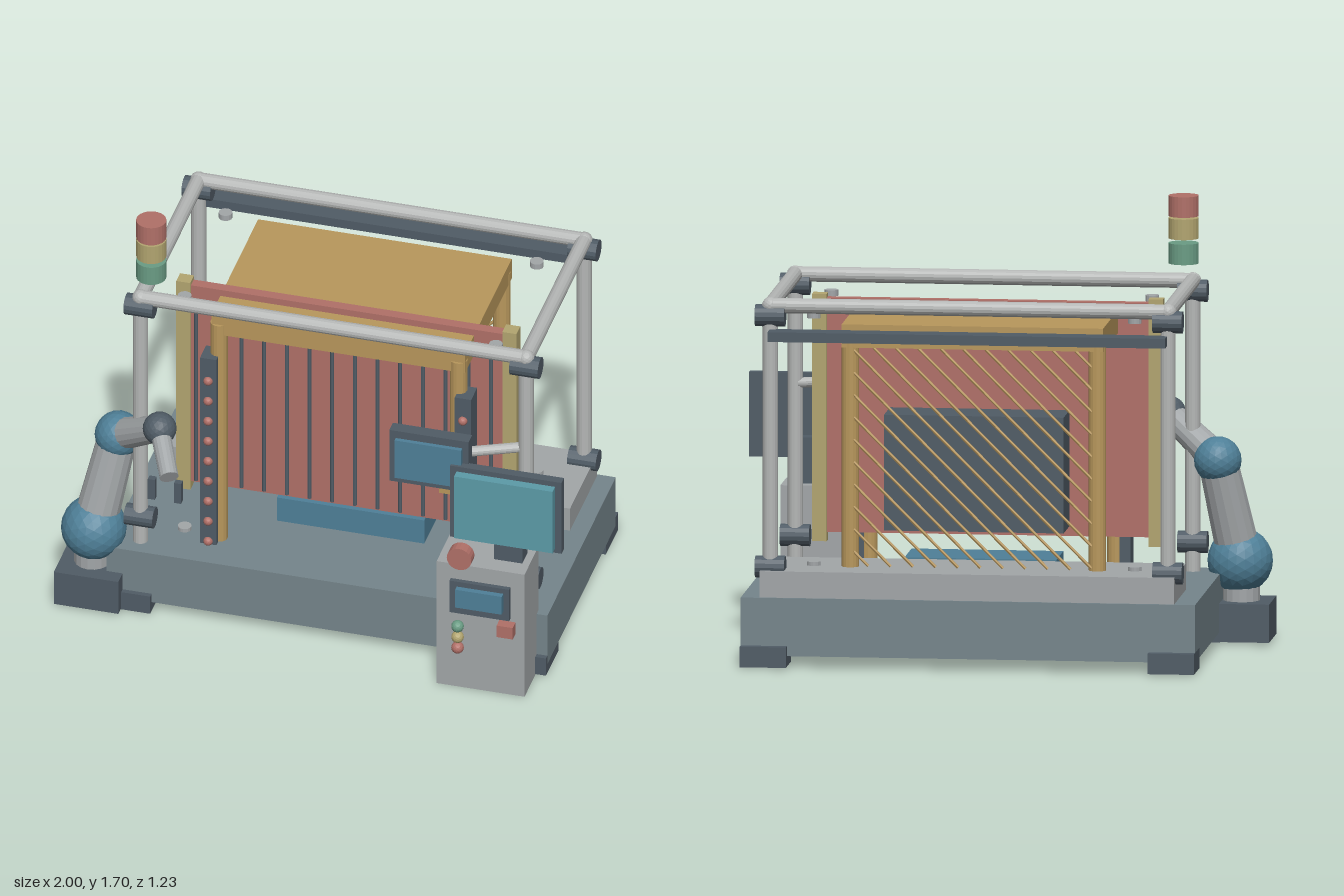
import * as THREE from 'three';

const mat = (color) => new THREE.MeshStandardMaterial({ color, flatShading: true });
const M = {
  dark: mat(0x505c66), base: mat(0x75858b), light: mat(0xa2a6a8), pipe: mat(0xb4b6b5),
  teal: mat(0x4f8098), screen: mat(0x5c9ba8), red: mat(0xb07068), gold: mat(0xb8975c),
  yellow: mat(0xb2a570), green: mat(0x6a9c84),
};

export function createModel() {
  const model = new THREE.Group();
  model.name = 'roboticWorkCell';
  const put = (parent, name, geo, m, x = 0, y = 0, z = 0) => {
    const mesh = new THREE.Mesh(geo, m);
    mesh.name = name;
    mesh.position.set(x, y, z);
    parent.add(mesh);
    return mesh;
  };
  const group = (name) => {
    const g = new THREE.Group();
    g.name = name;
    model.add(g);
    return g;
  };
  // Box given by its limits on each axis
  const box = (p, name, m, x0, x1, y0, y1, z0, z1) =>
    put(p, name, new THREE.BoxGeometry(x1 - x0, y1 - y0, z1 - z0), m, (x0 + x1) / 2, (y0 + y1) / 2, (z0 + z1) / 2);
  // Cylinder from point a to point b
  const rod = (p, name, m, a, b, r0, r1 = r0, sides = 16) => {
    const A = new THREE.Vector3(...a), B = new THREE.Vector3(...b), d = B.clone().sub(A);
    const mesh = put(p, name, new THREE.CylinderGeometry(r1, r0, d.length(), sides), m);
    mesh.position.copy(A).add(B).multiplyScalar(0.5);
    mesh.quaternion.setFromUnitVectors(new THREE.Vector3(0, 1, 0), d.normalize());
    return mesh;
  };
  const ball = (p, name, m, [x, y, z], r, detail = 3) =>
    put(p, name, new THREE.IcosahedronGeometry(r, detail), m, x, y, z);

  // Base, feet and levelling pads
  const base = group('base');
  box(base, 'deck', M.base, -0.81, 0.91, 0.045, 0.265, -0.58, 0.38);
  box(base, 'rearPlatform', M.light, -0.73, 0.84, 0.265, 0.365, -0.57, -0.19);
  box(base, 'frontTray', M.teal, -0.24, 0.335, 0.265, 0.37, -0.19, 0.04);
  for (const x of [-0.81, 0.735])
    for (const z of [-0.615, 0.225]) box(base, 'foot', M.dark, x, x + 0.175, 0.005, 0.083, z, z + 0.175);
  for (const x of [-0.56, 0.655])
    for (const z of [-0.39, 0.185]) {
      box(base, 'levellingPad', M.dark, x - 0.058, x + 0.058, 0.03, 0.046, z - 0.058, z + 0.058);
      const top = z < 0 ? 0.365 : 0.265;
      rod(base, 'deckDisc', M.light, [x, top, z], [x, top + 0.015, z], 0.026);
      rod(base, 'upperDisc', M.light, [x, 1.305, z], [x, 1.328, z], 0.026);
    }

  // Tubular outer frame
  const frame = group('outerFrame');
  const X = [-0.7, 0.805], Z = [-0.515, 0.3];
  for (const x of X)
    for (const z of Z) {
      rod(frame, 'framePost', M.pipe, [x, 0.265, z], [x, 1.37, z], 0.029);
      ball(frame, 'frameCorner', M.pipe, [x, 1.368, z], 0.032, 2);
      for (const y of [0.375, 1.33])
        rod(frame, 'frameClamp', M.dark, [x - 0.056, y, z], [x + 0.056, y, z], 0.042);
    }
  for (const z of Z) rod(frame, 'longRail', M.pipe, [X[0], 1.368, z], [X[1], 1.368, z], 0.029);
  for (const x of X) rod(frame, 'crossRail', M.pipe, [x, 1.368, Z[0]], [x, 1.368, Z[1]], 0.029);
  box(frame, 'rearBeam', M.dark, -0.7, 0.805, 1.243, 1.28, -0.612, -0.525);

  // Inner gantry
  const gantry = group('gantry');
  box(gantry, 'gantryCover', M.gold, -0.445, 0.545, 1.2, 1.288, -0.433, 0.225);
  for (const x of [-0.42, 0.515])
    for (const z of [-0.402, 0.203]) rod(gantry, 'gantryPost', M.gold, [x, 0.265, z], [x, 1.245, z], 0.033);
  box(gantry, 'machineBlock', M.dark, -0.29, 0.39, 0.5, 0.94, -0.385, -0.19);

  // Diagonal mesh curtain, each wire clipped to the opening
  const curtain = group('rearCurtain');
  const [cx0, cx1, cy0, cy1] = [-0.4, 0.5, 0.37, 1.2];
  for (let s = cx0 - (cy1 - cy0) + 0.06; s < cx1 - 0.02; s += 0.085) {
    const a = Math.max(s, cx0), b = Math.min(s + cy1 - cy0, cx1);
    if (b - a > 0.02)
      rod(curtain, 'curtainWire', M.gold, [a, cy0 + a - s, -0.425], [b, cy0 + b - s, -0.425], 0.006, 0.006, 6);
  }

  // Sliding panel with end rails and vertical bars
  const panel = group('slidingPanel');
  box(panel, 'panelSheet', M.red, -0.56, 0.66, 0.425, 1.315, 0.058, 0.098);
  for (const x of [-0.615, 0.658]) box(panel, 'panelEndRail', M.yellow, x, x + 0.055, 0.39, 1.33, 0.052, 0.106);
  for (let i = 0; i < 14; i++) {
    const x = -0.53 + i * 0.0885;
    rod(panel, 'panelBar', M.dark, [x, 0.457, 0.132], [x, 1.257, 0.132], 0.008, 0.008, 8);
  }
  box(panel, 'panelLatch', M.gold, 0.43, 0.485, 0.6, 0.79, 0.105, 0.172);

  // Light curtain strips with indicator beads
  const strips = group('sensorStrips');
  for (const x of [-0.447, 0.547]) {
    box(strips, 'sensorStrip', M.dark, x - 0.032, x + 0.032, 0.265, 1.107, 0.175, 0.26);
    for (let i = 0; i < 9; i++) ball(strips, 'sensorBead', M.red, [x, 0.28 + i * 0.091, 0.262], 0.018, 2);
  }

  // Signal tower
  const tower = group('signalTower');
  [[M.green, 1.44], [M.yellow, 1.535], [M.red, 1.62]].forEach(([m, y]) =>
    rod(tower, 'signalLamp', m, [-0.67, y, 0.258], [-0.67, y + 0.078, 0.258], 0.057, 0.057, 24));

  // Robot arm
  const robot = group('robotArm');
  const shoulder = [-0.877, 0.305, 0.32], elbow = [-0.8, 0.695, 0.25];
  const wrist = [-0.6, 0.85, 0.392], tool = [-0.515, 0.757, 0.565];
  box(robot, 'pedestal', M.dark, -1, -0.748, 0.01, 0.155, 0.2, 0.44);
  rod(robot, 'turntable', M.light, [-0.882, 0.155, 0.32], [-0.882, 0.3, 0.32], 0.07);
  ball(robot, 'shoulderJoint', M.teal, shoulder, 0.124);
  rod(robot, 'upperArm', M.light, shoulder, elbow, 0.085, 0.075);
  ball(robot, 'elbowJoint', M.teal, elbow, 0.09);
  rod(robot, 'forearm', M.light, elbow, wrist, 0.063, 0.05);
  ball(robot, 'wristJoint', M.dark, wrist, 0.064);
  rod(robot, 'toolFlange', M.light, wrist, tool, 0.038, 0.036);
  for (const x of [-0.57, -0.468])
    box(robot, 'gripperFinger', M.dark, x - 0.014, x + 0.014, 0.68, 0.77, 0.592, 0.617);

  // Control cabinet
  const cabinet = group('controlCabinet');
  box(cabinet, 'cabinetBody', M.light, 0.525, 0.868, 0, 0.555, 0.355, 0.55);
  box(cabinet, 'panelBezel', M.dark, 0.58, 0.813, 0.345, 0.488, 0.55, 0.568);
  box(cabinet, 'panelDisplay', M.teal, 0.608, 0.79, 0.385, 0.466, 0.56, 0.59);
  [[M.green, 0.282], [M.yellow, 0.234], [M.red, 0.186]].forEach(([m, y]) =>
    ball(cabinet, 'pushButton', m, [0.61, y, 0.562], 0.024, 2));
  box(cabinet, 'keySwitch', M.red, 0.77, 0.833, 0.28, 0.332, 0.55, 0.59);
  rod(cabinet, 'emergencyStop', M.red, [0.615, 0.585, 0.515], [0.615, 0.585, 0.56], 0.048, 0.048, 20);

  // Monitors and their supports
  const monitors = group('monitors');
  box(monitors, 'monitorStand', M.dark, 0.73, 0.84, 0.555, 0.73, 0.41, 0.48);
  box(monitors, 'largeMonitorBody', M.dark, 0.565, 1, 0.645, 0.967, 0.47, 0.505);
  box(monitors, 'largeMonitorScreen', M.screen, 0.59, 0.975, 0.665, 0.945, 0.5, 0.54);
  box(monitors, 'smallMonitorBody', M.dark, 0.32, 0.63, 0.837, 1.067, 0.428, 0.478);
  box(monitors, 'smallMonitorScreen', M.teal, 0.345, 0.605, 0.865, 1.035, 0.47, 0.495);
  rod(monitors, 'monitorArm', M.pipe, [0.49, 0.955, 0.43], [0.8, 0.955, 0.29], 0.02);

  return model;
}
